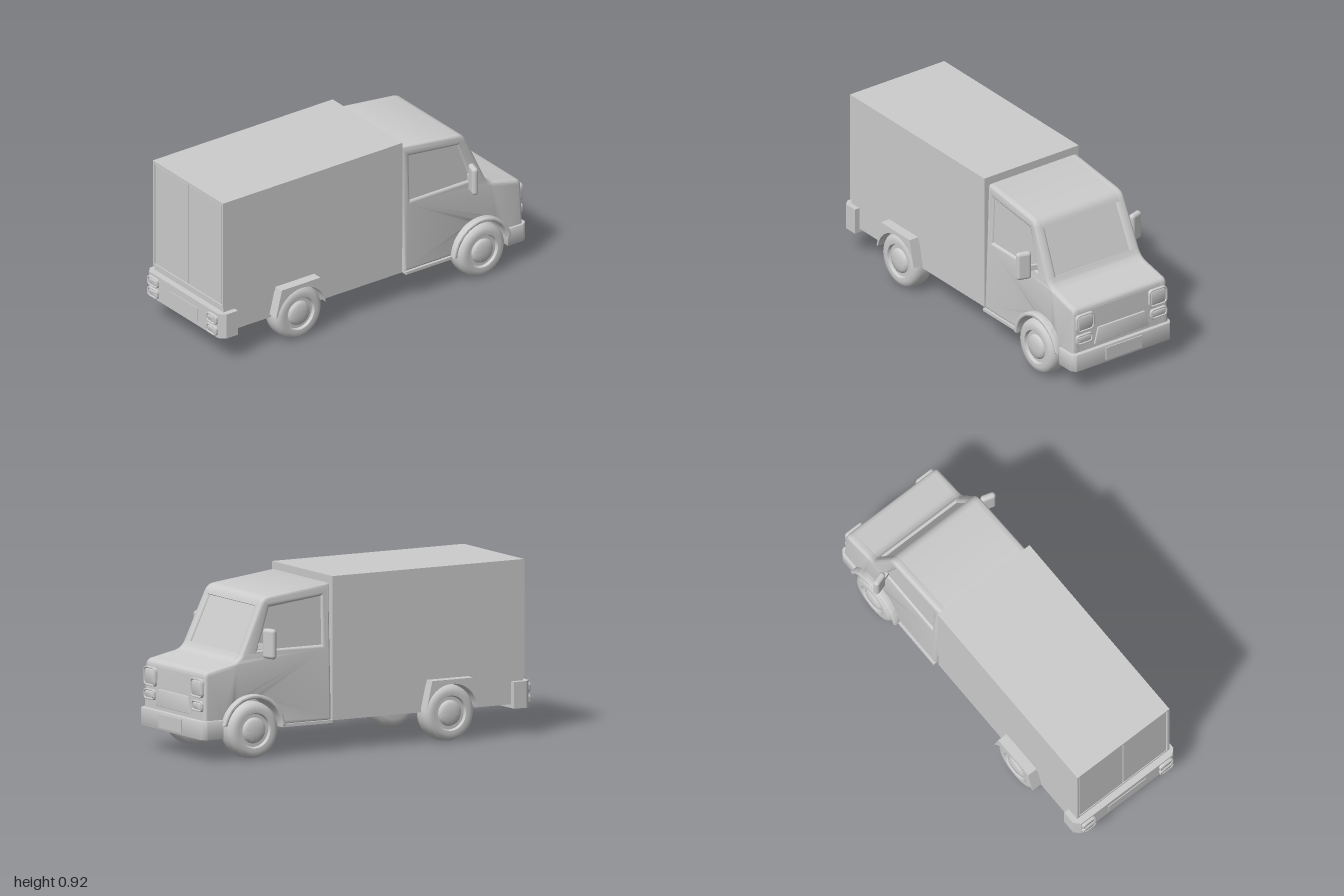
import * as THREE from 'three';
import { toCreasedNormals } from 'three/addons/utils/BufferGeometryUtils.js';
import { RoundedBoxGeometry } from 'three/addons/geometries/RoundedBoxGeometry.js';

const material = new THREE.MeshStandardMaterial({ color: 0xcccccc });

function add(parent, name, geometry, x = 0, y = 0, z = 0) {
  const mesh = new THREE.Mesh(geometry, material);
  mesh.name = name;
  mesh.position.set(x, y, z);
  parent.add(mesh);
  return mesh;
}

// Closed outline from [u, v, cornerRadius] points
function outline(points, target = new THREE.Shape()) {
  points.forEach(([u, v, r = 0], i) => {
    const p = new THREE.Vector2(u, v);
    const toward = (q) => p.clone().add(new THREE.Vector2(q[0], q[1]).sub(p).setLength(r));
    const a = r ? toward(points.at(i - 1)) : p;
    if (i === 0) target.moveTo(a.x, a.y); else target.lineTo(a.x, a.y);
    if (r) {
      const b = toward(points[(i + 1) % points.length]);
      target.quadraticCurveTo(u, v, b.x, b.y);
    }
  });
  target.closePath();
  return target;
}

function arc(cu, cv, r, from, to, n = 24) {
  return Array.from({ length: n + 1 }, (_, i) => {
    const a = from + (to - from) * i / n;
    return [cu + r * Math.cos(a), cv + r * Math.sin(a)];
  });
}

const rect = (w, h, r = 0) => [[-w / 2, -h / 2, r], [w / 2, -h / 2, r], [w / 2, h / 2, r], [-w / 2, h / 2, r]];

// Extrusion whose bevel stays inside the outline and the depth
function extrude(shape, depth, bevel = 0) {
  const geometry = new THREE.ExtrudeGeometry(shape, {
    depth: depth - 2 * bevel, curveSegments: 8, bevelEnabled: bevel > 0,
    bevelThickness: bevel, bevelSize: bevel, bevelOffset: -bevel, bevelSegments: 4,
  });
  geometry.translate(0, 0, bevel);
  return toCreasedNormals(geometry, 0.6);
}

// Side profile in (z, y), spanning x0 to x1
const across = (shape, x0, x1, bevel) =>
  extrude(shape, x1 - x0, bevel).rotateY(-Math.PI / 2).translate(x1, 0, 0);

// Plan outline in (x, -z), spanning y0 to y1
const upward = (shape, y0, y1, bevel) =>
  extrude(shape, y1 - y0, bevel).rotateX(-Math.PI / 2).translate(0, y0, 0);

// The cab narrows evenly toward its roof
function taper(geometry) {
  const p = geometry.attributes.position;
  for (let i = 0; i < p.count; i++) p.setX(i, p.getX(i) * (1 - 0.118 * (p.getY(i) - 0.16)));
  return geometry;
}

// Rounded lamp with a raised bezel and an inset lens
function lamp(parent, name, x, y, z, w, h, r, facing) {
  const group = new THREE.Group();
  group.name = name;
  const bezel = outline(rect(w, h, r));
  bezel.holes.push(outline(rect(w - 0.016, h - 0.016, r * 0.75), new THREE.Path()));
  add(group, 'bezel', extrude(bezel, 0.03, 0.002), 0, 0, -0.015);
  add(group, 'lens', extrude(outline(rect(w - 0.022, h - 0.022, r * 0.7)), 0.028, 0.003), 0, 0, -0.015);
  group.position.set(x, y, z);
  if (facing < 0) group.rotation.y = Math.PI;
  parent.add(group);
}

export function createModel() {
  const van = new THREE.Group();
  van.name = 'boxVan';
  const FRONT = -0.69, REAR = 0.49, AXLE = 0.149;
  const both = (fn) => [-1, 1].forEach(fn);
  const span = (side, a, b) => (side > 0 ? [a, b] : [-b, -a]);

  // Cargo box with framed double doors at the rear
  add(van, 'cargoBox', new THREE.BoxGeometry(0.61, 0.61, 1.145), 0, 0.61, 0.3725);
  const frame = outline([[-0.305, 0.305], [0.305, 0.305], [0.305, 0.915], [-0.305, 0.915]]);
  frame.holes.push(outline([[-0.291, 0.318], [0.291, 0.318], [0.291, 0.9], [-0.291, 0.9]], new THREE.Path()));
  add(van, 'doorFrame', extrude(frame, 0.012), 0, 0, 0.945);
  both((s) => add(van, 'rearDoor', new THREE.BoxGeometry(0.282, 0.574, 0.01), s * 0.1445, 0.609, 0.949));

  // Lower body with the rear wheel tunnel
  const lower = outline([[-0.196, 0.16], ...arc(REAR, AXLE, 0.156, Math.PI - 0.07, 0.07),
    [0.95, 0.16], [0.95, 0.312], [-0.196, 0.312]]);
  add(van, 'lowerBody', across(lower, -0.302, 0.302));

  // Cab: core with a recessed windscreen, and rounded sides with window openings
  const roof = [[-0.206, 0.16], [-0.206, 0.88, 0.012], [-0.607, 0.833, 0.04]];
  const nose = [[-0.755, 0.508, 0.045], [-0.965, 0.465, 0.03], [-0.972, 0.16],
    ...arc(FRONT, AXLE, 0.166, Math.PI - 0.07, 0.07)];
  const screen = [[-0.628, 0.787], [-0.615, 0.781], [-0.723, 0.544], [-0.737, 0.549]];
  add(van, 'cabCore', taper(across(outline([...roof, ...screen, ...nose]), -0.27, 0.27)));
  const windowHole = [[-0.257, 0.56], [-0.257, 0.812], [-0.567, 0.778], [-0.642, 0.56]];
  const windowPane = [[-0.24, 0.545], [-0.24, 0.83], [-0.58, 0.795], [-0.662, 0.545]];
  both((s) => {
    const side = outline([...roof, ...nose]);
    side.holes.push(outline(windowHole, new THREE.Path()));
    add(van, 'cabSide', taper(across(side, ...span(s, 0.25, 0.312), 0.018)));
    add(van, 'sideWindow', taper(across(outline(windowPane), ...span(s, 0.26, 0.3))));
    add(van, 'sill', new THREE.BoxGeometry(0.05, 0.016, 0.3), s * 0.297, 0.158, -0.36);
  });
  add(van, 'wheelWell', new THREE.BoxGeometry(0.41, 0.2, 0.37), 0, 0.261, FRONT);

  // Wheel arches
  const flare = outline([...arc(FRONT, AXLE, 0.187, 0.06, Math.PI - 0.2),
    ...arc(FRONT, AXLE, 0.166, Math.PI - 0.2, 0.06)]);
  const fender = outline([[0.648, 0.178], [0.62, 0.328], [0.37, 0.328], [0.335, 0.178],
    ...arc(REAR, AXLE, 0.156, 0.19, Math.PI - 0.19).reverse()].map(([z, y]) => [z, y]));
  both((s) => {
    add(van, 'frontArch', across(flare, ...span(s, 0.285, 0.345), 0.007));
    const outer = outline([[0.335, 0.178], [0.37, 0.328], [0.618, 0.328], [0.655, 0.178],
      ...arc(REAR, AXLE, 0.156, 0.19, Math.PI - 0.19)]);
    add(van, 'rearArch', across(outer, ...span(s, 0.29, 0.36)));
  });

  // Wheels: rounded tyre, dished rim and domed hub turned as one profile
  const profile = [[0, -0.063], [0.105, -0.063], [0.128, -0.058], [0.143, -0.044], [0.149, -0.02],
    [0.149, 0.02], [0.145, 0.042], [0.132, 0.057], [0.112, 0.063], [0.092, 0.061], [0.086, 0.046],
    [0.068, 0.046], [0.064, 0.056], [0.05, 0.063], [0.025, 0.067], [0, 0.068]]
    .map(([r, h]) => new THREE.Vector2(r, h));
  const wheel = toCreasedNormals(new THREE.LatheGeometry(profile, 40), 0.75);
  both((s) => [FRONT, REAR].forEach((z) => {
    add(van, z < 0 ? 'frontWheel' : 'rearWheel', wheel, s * 0.285, AXLE, z).rotation.z = -s * Math.PI / 2;
  }));

  // Bumpers and number plates
  const rearBumper = outline([[-0.332, -0.88], [-0.332, -0.955], [-0.302, -0.985],
    [0.302, -0.985], [0.332, -0.955], [0.332, -0.88]]);
  add(van, 'rearBumper', upward(rearBumper, 0.14, 0.28));
  const frontBumper = outline([[-0.322, 0.865], [0.322, 0.865], [0.322, 0.965, 0.01],
    [0.302, 0.992, 0.01], [-0.302, 0.992, 0.01], [-0.322, 0.965, 0.01]]);
  add(van, 'frontBumper', upward(frontBumper, 0.115, 0.215, 0.004));
  add(van, 'rearPlate', new THREE.BoxGeometry(0.25, 0.078, 0.01), 0, 0.202, 0.984);
  add(van, 'frontPlate', new THREE.BoxGeometry(0.23, 0.07, 0.01), 0, 0.166, -0.993);

  // Lamps and grille
  both((s) => {
    [0.24, 0.177].forEach((y) => lamp(van, 'tailLamp', s * 0.256, y, 0.985, 0.088, 0.053, 0.022, 1));
    lamp(van, 'headLamp', s * 0.235, 0.382, -0.968, 0.115, 0.1, 0.025, -1);
    lamp(van, 'indicator', s * 0.24, 0.288, -0.968, 0.105, 0.055, 0.02, -1);
  });
  const grille = outline([[-0.175, 0.235], [0.175, 0.235], [0.15, 0.325], [-0.15, 0.325]]);
  add(van, 'grille', extrude(grille, 0.014, 0.002), 0, 0, -0.979);

  // Door mirrors, swept back at the outer edge
  both((s) => {
    const mirror = new THREE.Group();
    mirror.name = 'mirror';
    add(mirror, 'mirrorHousing', new RoundedBoxGeometry(0.082, 0.158, 0.036, 5, 0.018));
    add(mirror, 'mirrorArm', new THREE.BoxGeometry(0.06, 0.03, 0.016), -s * 0.06, -0.02, 0);
    mirror.position.set(s * 0.361, 0.6, -0.612);
    mirror.rotation.y = -s * 0.3;
    van.add(mirror);
  });

  return van;
}
